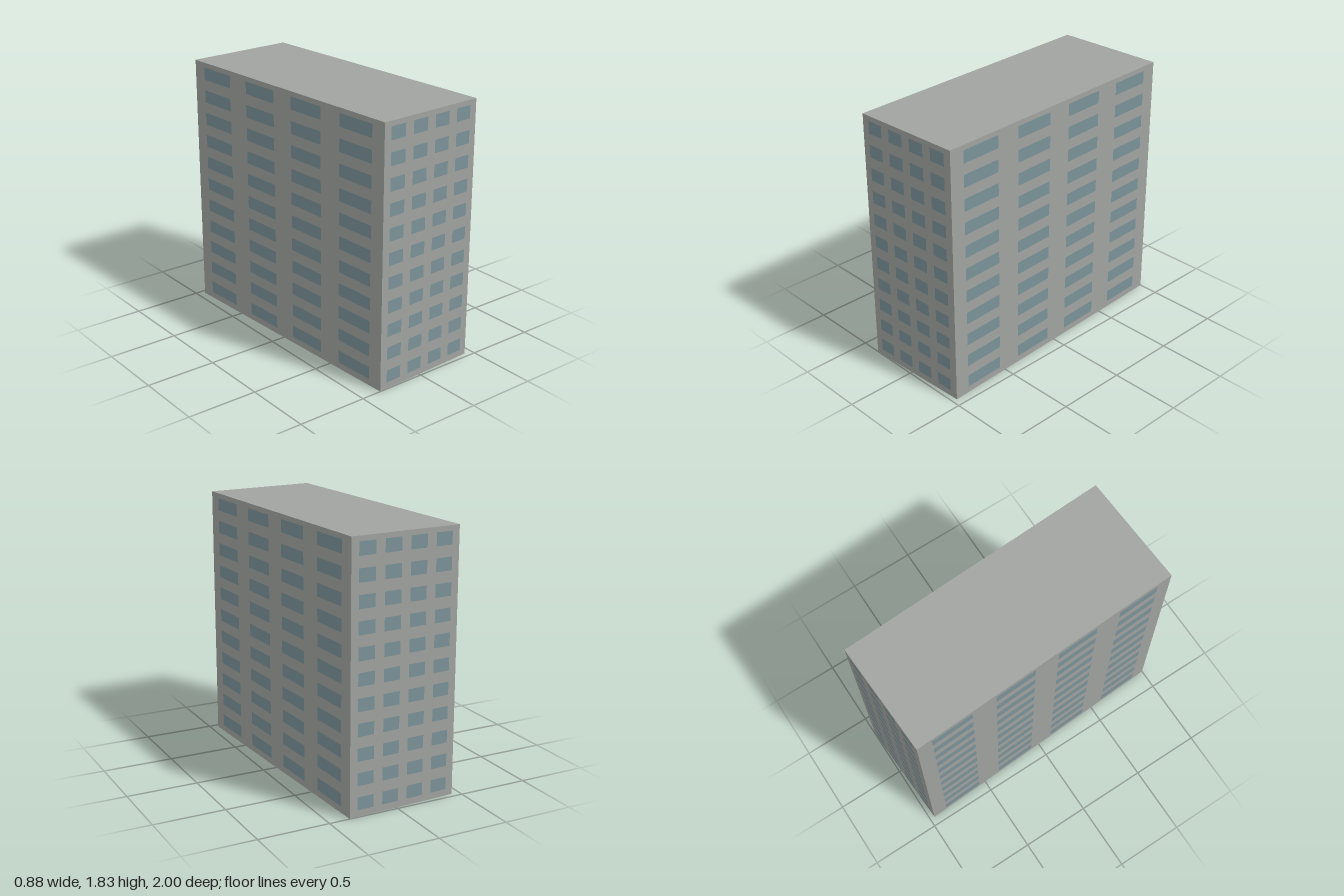
import * as THREE from 'three';

const WIDTH = 0.796, DEPTH = 1.965, HEIGHT = 1.83;
const FLOORS = 11, FLOOR_PITCH = 0.1659, FIRST_ROW = 0.0915;
const COLUMNS = 4, WINDOW_HEIGHT = 0.089, OFFSET = 0.002;

export function createModel() {
  const concrete = new THREE.MeshStandardMaterial({ color: 0xa0a39f, side: THREE.DoubleSide });
  concrete.name = 'concrete';
  const glass = new THREE.MeshStandardMaterial({ color: 0x7a9299 });
  glass.name = 'window glass';

  const building = new THREE.Group();
  building.name = 'building';

  function addPlane(parent, name, w, h, x, y, z, material) {
    const mesh = new THREE.Mesh(new THREE.PlaneGeometry(w, h), material);
    mesh.name = name;
    mesh.position.set(x, y, z);
    parent.add(mesh);
    return mesh;
  }

  // One facade: a wall with a regular grid of windows just outside it
  function addFacade(name, length, distance, angle, windowWidth, pitch) {
    const facade = new THREE.Group();
    facade.name = name;
    addPlane(facade, 'wall', length, HEIGHT, 0, HEIGHT / 2, distance, concrete);
    for (let floor = 0; floor < FLOORS; floor++) {
      for (let col = 0; col < COLUMNS; col++) {
        const x = (col - (COLUMNS - 1) / 2) * pitch;
        const y = FIRST_ROW + floor * FLOOR_PITCH;
        addPlane(facade, 'window', windowWidth, WINDOW_HEIGHT, x, y, distance + OFFSET, glass);
      }
    }
    facade.rotation.y = angle;
    building.add(facade);
  }

  // Narrow ends and long sides
  addFacade('frontFacade', WIDTH, DEPTH / 2, 0, 0.121, 0.189);
  addFacade('backFacade', WIDTH, DEPTH / 2, Math.PI, 0.121, 0.189);
  addFacade('leftFacade', DEPTH, WIDTH / 2, Math.PI / 2, 0.302, 0.482);
  addFacade('rightFacade', DEPTH, WIDTH / 2, -Math.PI / 2, 0.302, 0.482);

  // Flat roof; the underside stays open
  const roof = addPlane(building, 'roof', WIDTH, DEPTH, 0, HEIGHT, 0, concrete);
  roof.rotation.x = -Math.PI / 2;

  // The block stands slightly turned on its plot
  building.rotation.y = 0.0445;

  const model = new THREE.Group();
  model.name = 'apartmentBlock';
  model.add(building);
  return model;
}
